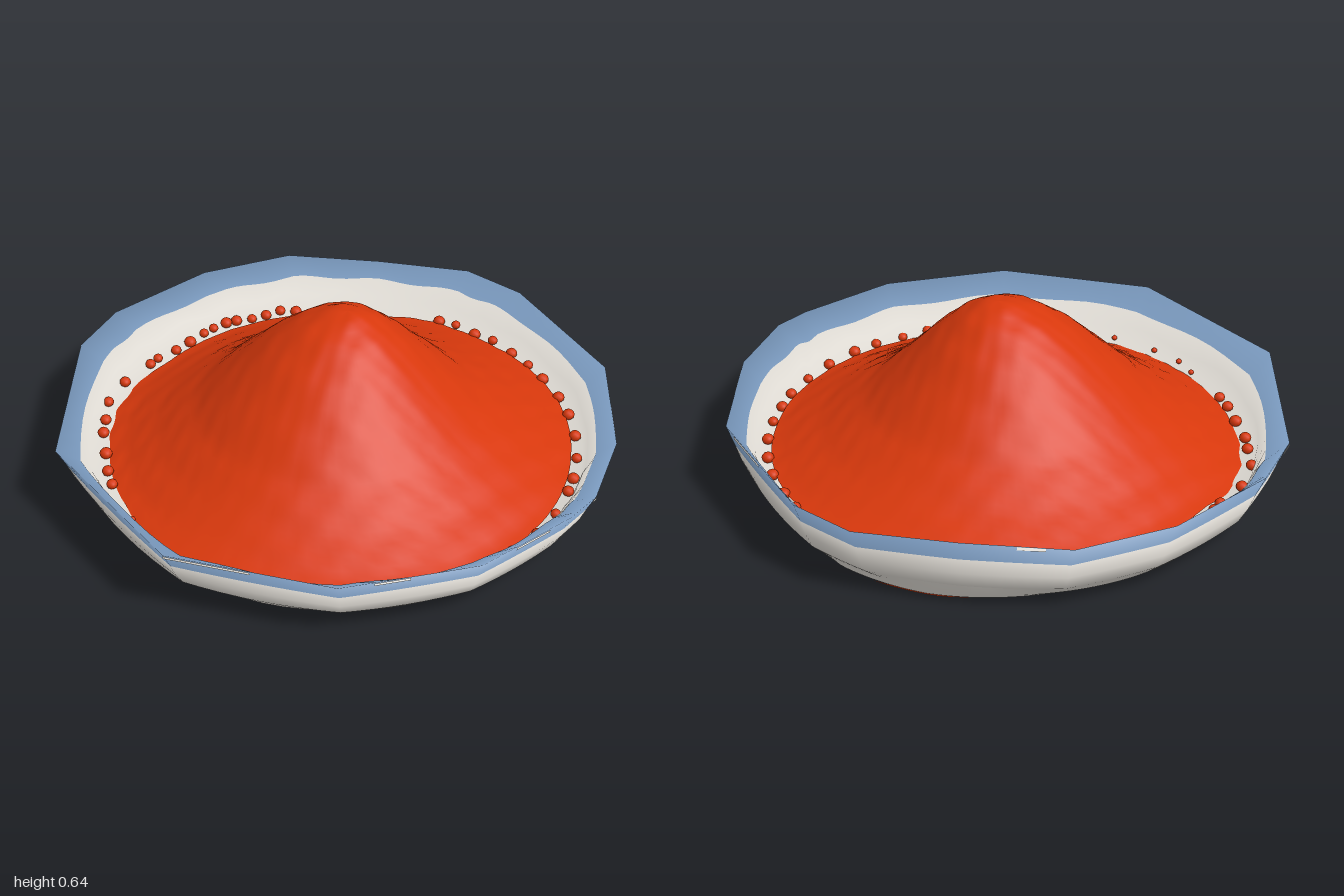
import * as THREE from 'three';
import { toCreasedNormals } from 'three/addons/utils/BufferGeometryUtils.js';

const flat = (name, color, double) => {
  const m = new THREE.MeshStandardMaterial({ color });
  m.name = name;
  if (double) m.side = THREE.DoubleSide;
  return m;
};
const deg = Math.PI / 180;

// Skin between rings of equal point count; tilts (degrees above outward, one per ring) give softly rolled normals
function loft(rings, { closed = true, tilts } = {}) {
  const n = rings[0].length, pos = [], idx = [], nor = [];
  rings.forEach((r, j) => r.forEach(p => {
    pos.push(p.x, p.y, p.z);
    if (tilts) {
      const t = tilts[j] * deg, c = Math.cos(t) / Math.hypot(p.x, p.z);
      nor.push(p.x * c, Math.sin(t), p.z * c);
    }
  }));
  for (let j = 0; j < rings.length - 1; j++) {
    for (let i = 0; i < (closed ? n : n - 1); i++) {
      const a = j * n + i, b = j * n + (i + 1) % n;
      idx.push(a, b, a + n, b, b + n, a + n);
    }
  }
  const g = new THREE.BufferGeometry();
  g.setAttribute('position', new THREE.Float32BufferAttribute(pos, 3));
  g.setIndex(idx);
  if (tilts) g.setAttribute('normal', new THREE.Float32BufferAttribute(nor, 3));
  else g.computeVertexNormals();
  return g;
}

// Uneven hand-cut rim, as x, z corners going round from the back
const rim = [[-0.07, -1], [0.28, -0.97], [0.58, -0.77], [0.855, -0.555], [0.955, -0.33], [0.975, 0.24],
  [0.76, 0.645], [0.54, 0.86], [0.41, 0.915], [0.03, 0.995], [-0.43, 0.89], [-0.86, 0.5],
  [-0.98, -0.17], [-0.675, -0.74], [-0.48, -0.89]];
const SUB = 8;
const outline = rim.flatMap(([x, z], i) => {
  const [u, v] = rim[(i + 1) % rim.length];
  return Array.from({ length: SUB }, (_, k) => [x + (u - x) * k / SUB, z + (v - z) * k / SUB]);
});

// Underside: a tilted plane creased towards the front left, curling up at the edge
function floorY(x, z, s) {
  const d = 0.94 * x + 0.34 * z;
  return Math.max(0.048 * (0.604 - d), 0.3 * (d - 0.604), 1.1 * (s - 0.86), 0);
}

// Scaled copy of the rim, rounded towards a circle; lower rings lean slightly to the back left
function ring(s, y, round = 0) {
  return outline.map(([px, pz], i) => {
    const f = s * (1 + round * (0.97 / Math.hypot(px, pz) - 1));
    const x = px * f + (1 - s) * 0.28, z = pz * f - (1 - s) * 0.25;
    return new THREE.Vector3(x, typeof y === 'function' ? y(x, z, s, i) : y, z);
  });
}

// Mound footprint, as angle in degrees and radius about its peak
const foot = [[0, 0.81], [34, 0.8], [65, 0.815], [90, 0.84], [112, 0.845], [130, 0.86], [149, 0.87], [165, 0.865],
  [180, 0.85], [205, 0.85], [223, 0.885], [241, 0.83], [276, 0.835], [300, 0.79], [320, 0.83], [338, 0.81], [360, 0.81]];
const slope = [[0, 0.645], [0.06, 0.636], [0.15, 0.592], [0.25, 0.515], [0.35, 0.42], [0.5, 0.278],
  [0.65, 0.18], [0.78, 0.115], [0.9, 0.075]];
function sample(table, t) {
  const k = Math.max(1, table.findIndex(p => p[0] >= t));
  const [a, b] = [table[k - 1], table[k]];
  return a[1] + (b[1] - a[1]) * (t - a[0]) / (b[0] - a[0]);
}
const PEAK = 0.05;

export function createModel() {
  const group = new THREE.Group();
  const white = flat('offWhiteGlaze', 0xdedad3, true);
  const blue = flat('blueGlaze', 0x7897bb, true);
  const red = flat('redPowder', 0xd8380c, true);
  const add = (name, geo, mat) => {
    const m = new THREE.Mesh(geo, mat);
    m.name = name;
    group.add(m);
    return m;
  };
  let seed = 7;
  const rand = () => (seed = (seed * 16807) % 2147483647) / 2147483647;

  // Bowl outside: rim band, wall and base
  const lip = ring(1, 0.272), bandEdge = ring(0.975, 0.2, 0.15), waist = ring(0.935, 0.085, 0.5);
  add('outerRimBand', loft([lip, bandEdge], { tilts: [45, 25] }), blue);
  add('outerWall', loft([bandEdge, ring(0.958, 0.14, 0.3), waist], { tilts: [25, 0, -35] }), white);
  const base = [waist];
  for (const s of [0.9, 0.87, 0.84, 0.8, 0.75, 0.7, 0.65, 0.6, 0.5, 0.4, 0.3, 0.2, 0.1, 0]) base.push(ring(s, floorY, 1));
  add('base', toCreasedNormals(loft(base), 0.4), white);

  // Bowl inside: round foot, gently wrinkled wall and uneven painted edge
  const paintEdge = ring(0.94, (x, z, s, i) => 0.207 + 0.006 * Math.sin(i * 0.9), 0.5);
  const wrinkles = ring(0.915, (x, z, s, i) => 0.145 + 0.012 * Math.sin(i * 1.15), 0.8);
  add('innerWall', loft([ring(0.75, 0.088, 1), ring(0.9, 0.09, 1), wrinkles, paintEdge],
    { tilts: [90, 105, 112, 100] }), white);
  add('innerRimBand', loft([paintEdge, lip], { tilts: [100, 70] }), blue);

  // Worn chips along the outer edge of the rim
  const chipTop = ring(1.002, 0.27), chipFoot = ring(0.999, 0.257);
  [[10, 2], [36, 3], [44, 3], [55, 2], [66, 3], [76, 2], [84, 4], [104, 2]].forEach(([i, n]) => {
    const cut = r => r.slice(i, i + n + 1);
    add('rimChip', loft([cut(chipTop), cut(chipFoot)], { closed: false, tilts: [45, 40] }), white);
  });

  // Heaped powder with a faintly rough surface
  const rings = [];
  const N = 120, M = 36;
  for (let j = 0; j <= M; j++) {
    rings.push(Array.from({ length: N }, (_, i) => {
      const a = i / N * 360, r = sample(foot, a) * j / M;
      const x = r * Math.cos(a * deg), z = r * Math.sin(a * deg);
      const rough = 0.0025 * Math.sin(31 * x + 17 * z) * Math.sin(37 * z - 13 * x) + 0.0015 * Math.sin(71 * x) * Math.sin(67 * z);
      const lean = 0.04 * Math.sin(Math.PI * j / M);
      return new THREE.Vector3(x + PEAK - lean, sample(slope, r) + rough, z);
    }));
  }
  add('powderMound', loft(rings), red);

  // Powder showing through thin slits in the base, tapering to both ends
  const lower = (x, z, s) => Math.max(0, floorY(x, z, s) - 0.005);
  const [outer, middle, inner] = [0.872, 0.858, 0.842].map(s => ring(s, lower, 1));
  [[40, 64], [78, 96], [99, 109], [15, 25]].forEach(([from, to]) => {
    const edge = r => r.slice(from, to + 1).map((p, k) =>
      middle[from + k].clone().lerp(p, Math.sin(Math.PI * k / (to - from))));
    add('baseSlit', loft([edge(outer), edge(inner)], { closed: false }), red);
  });

  // Loose grains around the foot of the heap
  const grain = new THREE.IcosahedronGeometry(1, 1);
  const angles = [0, 9, 17, 26, 35, 43, 49, 58, 67, 76, 83, 91, 98, 110, 115, 125, 133, 148, 160, 168, 174, 188, 193,
    200, 208, 213, 220, 229, 238, 241, 247, 252, 257, 260, 264, 267, 271, 275, 279, 283, 322, 327, 333, 339, 346, 353];
  angles.forEach(a => {
    const small = a > 120 && a < 176;
    const r = sample(foot, a) + (a > 225 && a < 290 ? 0.025 : 0.008) + rand() * 0.015;
    const size = small ? 0.011 : 0.018 + rand() * 0.006;
    const m = add('grain', grain, red);
    m.position.set(PEAK + r * Math.cos(a * deg), 0.1 + rand() * 0.01, r * Math.sin(a * deg));
    m.scale.set(size, size * 0.9, size);
  });

  return group;
}
